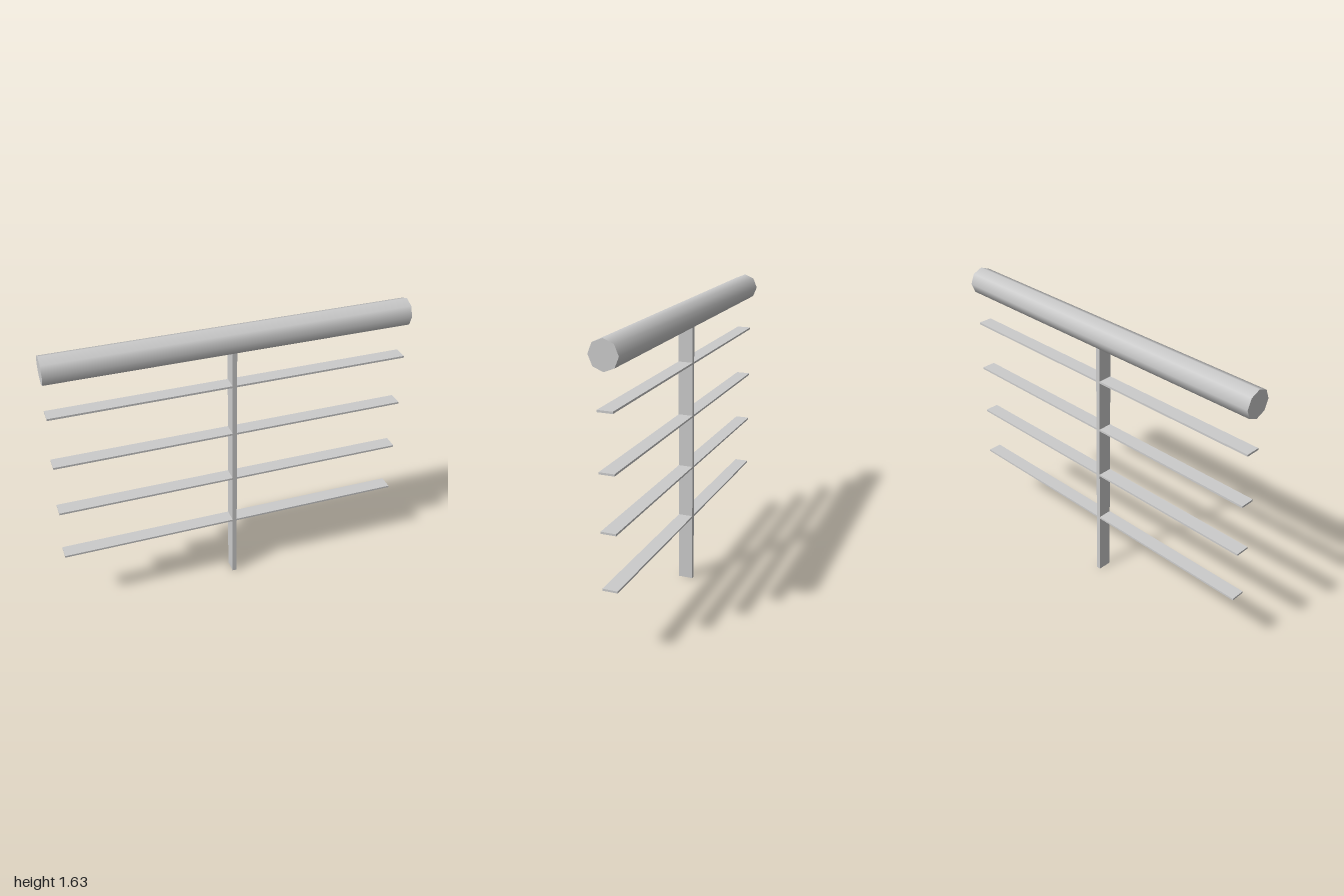
import * as THREE from 'three';

export function createModel() {
  const model = new THREE.Group();
  const grey = new THREE.MeshStandardMaterial({ color: 0xcccccc });
  const greyOpen = new THREE.MeshStandardMaterial({ color: 0xcccccc, side: THREE.DoubleSide });
  const depth = 0.082;
  const barY = 1.557;

  const add = (name, geometry, material, y) => {
    const mesh = new THREE.Mesh(geometry, material);
    mesh.name = name;
    mesh.position.y = y;
    model.add(mesh);
  };

  // Eight-sided top bar, smooth around its length
  const bar = new THREE.CylinderGeometry(0.078, 0.078, 2, 8);
  bar.rotateZ(Math.PI / 2);
  add('topBar', bar, grey, barY);

  // Flat upright post: a hollow box without its top and bottom faces
  const postHeight = 1.5;
  const post = new THREE.BoxGeometry(0.025, postHeight, depth);
  const index = Array.from(post.index.array);
  index.splice(12, 12);
  post.setIndex(index);
  post.clearGroups();
  add('post', post, greyOpen, postHeight / 2);

  // Four thin slats, evenly spaced
  for (let i = 0; i < 4; i++) {
    add('slat' + (i + 1), new THREE.BoxGeometry(2, 0.011, depth), grey, 0.39 + i * 0.3015);
  }

  return model;
}
